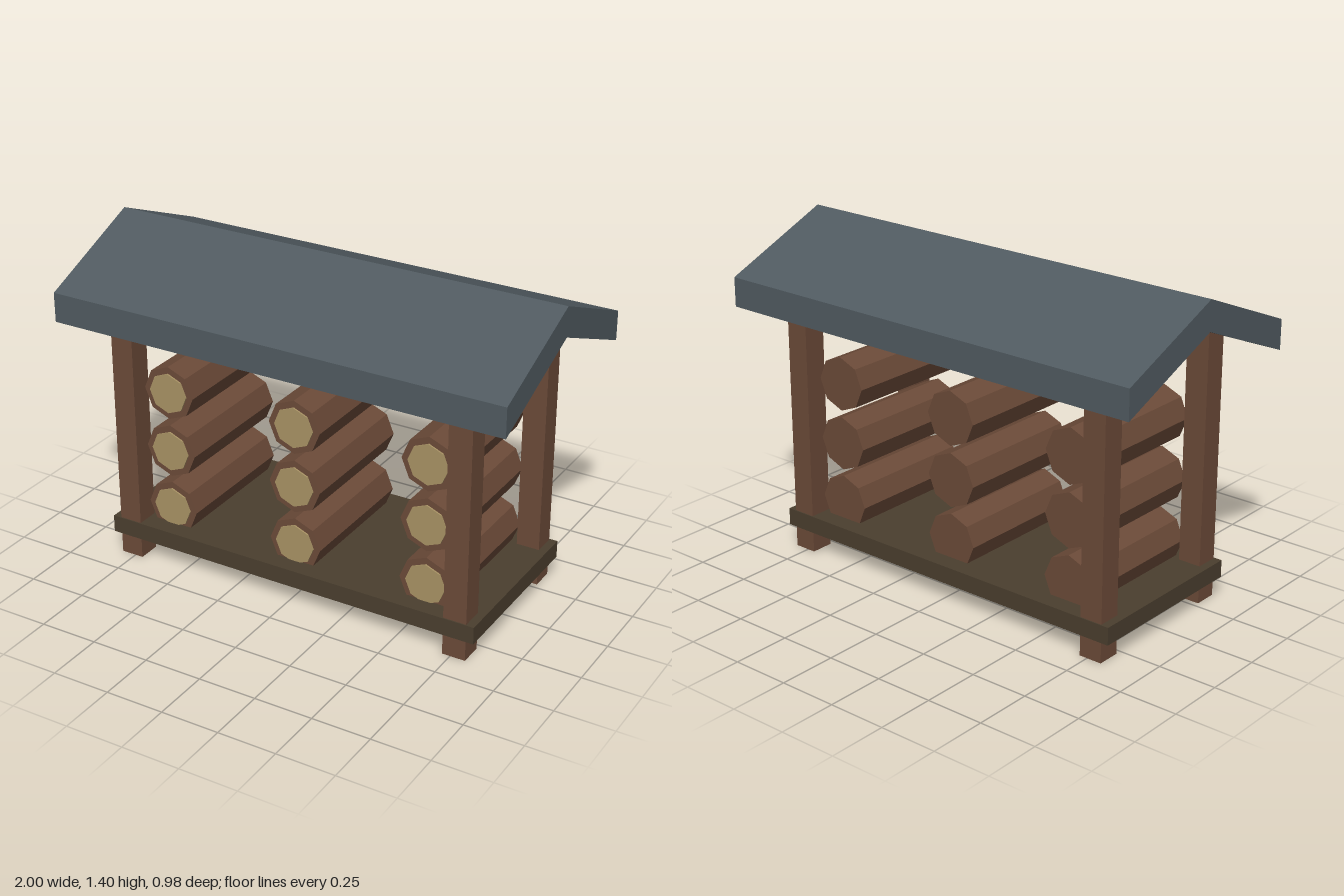
import * as THREE from 'three';

const material = (name, color) => {
  const m = new THREE.MeshStandardMaterial({ color, flatShading: true });
  m.name = name;
  return m;
};

export function createModel() {
  const model = new THREE.Group();
  model.name = 'logShelter';
  const brown = material('bark brown', 0x6b4a38);
  const cutWood = material('cut wood', 0xa89264);
  const darkWood = material('dark board', 0x4a3e2e);
  const slate = material('slate roof', 0x505a60);

  const add = (name, geometry, mat, x, y, z) => {
    const mesh = new THREE.Mesh(geometry, mat);
    mesh.name = name;
    mesh.position.set(x, y, z);
    model.add(mesh);
    return mesh;
  };

  // Floor board
  add('floorBoard', new THREE.BoxGeometry(1.7, 0.075, 0.76), darkWood, 0, 0.1275, 0);

  // Corner posts, their tops buried in the roof
  const postHeight = 1.17;
  const postGeometry = new THREE.BoxGeometry(0.1, postHeight, 0.1);
  for (const x of [-0.765, 0.765]) {
    for (const z of [-0.325, 0.325]) {
      add('cornerPost', postGeometry, brown, x, postHeight / 2, z);
    }
  }

  // Three stacks of octagonal logs with pale cut ends at the front
  const logGeometry = new THREE.CylinderGeometry(0.117, 0.117, 0.6, 8).rotateX(Math.PI / 2);
  const endGeometry = new THREE.CylinderGeometry(0.088, 0.088, 0.008, 8).rotateX(Math.PI / 2);
  for (const x of [-0.597, 0, 0.597]) {
    for (const y of [0.242, 0.505, 0.769]) {
      add('log', logGeometry, brown, x, y, 0);
      add('logCutEnd', endGeometry, cutWood, x, y, 0.303);
    }
  }

  // Gabled roof: chevron section extruded along x
  const section = new THREE.Shape([
    [-0.49, 1.067], [0, 1.27], [0.49, 1.067],
    [0.49, 1.193], [0, 1.396], [-0.49, 1.193],
  ].map(([x, y]) => new THREE.Vector2(x, y)));
  const roofGeometry = new THREE.ExtrudeGeometry(section, { depth: 2, bevelEnabled: false });
  roofGeometry.translate(0, 0, -1).rotateY(Math.PI / 2);
  add('roof', roofGeometry, slate, 0, 0, 0);

  return model;
}
